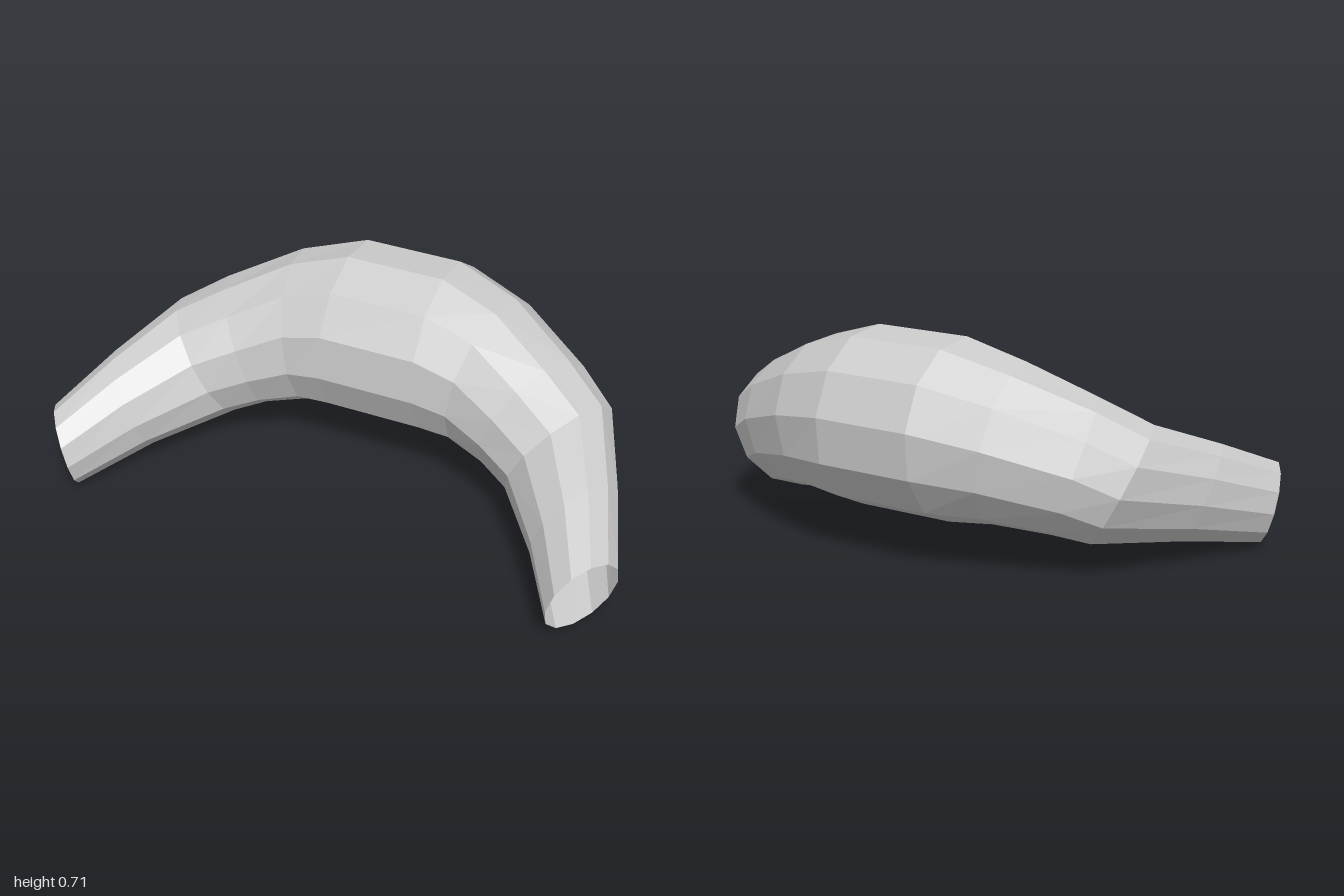
import * as THREE from 'three';

const SIDES = 12;

// Rings of the left half: centre, radius, facing direction, twist in degrees
const RINGS = [
  { c: [0.17, 0.423, -0.26], r: 0.295, n: [1, 0, 0], twist: 10 },
  { c: [0.34, 0.395, -0.225], r: 0.263, n: [0.97, -0.15, 0.17], twist: 9 },
  { c: [0.53, 0.33, -0.14], r: 0.23, n: [0.86, -0.31, 0.4], twist: 7 },
  { c: [0.65, 0.275, -0.07], r: 0.216, n: [0.8, -0.46, 0.39], twist: 5 },
  { c: [0.80, 0.21, 0.185], r: 0.172, n: [0.81, -0.37, 0.46], twist: 3 },
  { c: [0.922, 0.135, 0.434], r: 0.138, n: [0.81, -0.23, 0.54], twist: 0 },
];

// Points around one ring, starting at the top and turning towards the front
function ringPoints({ c, r, n, twist }) {
  const normal = new THREE.Vector3(...n).normalize();
  const up = new THREE.Vector3(0, 1, 0).addScaledVector(normal, -normal.y).normalize();
  const front = new THREE.Vector3().crossVectors(normal, up);
  return Array.from({ length: SIDES }, (_, i) => {
    const a = (i / SIDES) * Math.PI * 2 + THREE.MathUtils.degToRad(twist);
    return new THREE.Vector3(...c)
      .addScaledVector(up, r * Math.cos(a))
      .addScaledVector(front, r * Math.sin(a));
  });
}

// Open skin joining neighbouring rings
function loft(rings) {
  const positions = rings.flat().flatMap((p) => [p.x, p.y, p.z]);
  const index = [];
  for (let i = 0; i < rings.length - 1; i++) {
    for (let j = 0; j < SIDES; j++) {
      const k = (j + 1) % SIDES;
      const a = i * SIDES + j, b = i * SIDES + k;
      index.push(a, b, a + SIDES, b, b + SIDES, a + SIDES);
    }
  }
  const g = new THREE.BufferGeometry();
  g.setAttribute('position', new THREE.Float32BufferAttribute(positions, 3));
  g.setIndex(index);
  g.computeVertexNormals();
  return g;
}

export function createModel() {
  const group = new THREE.Group();
  group.name = 'curvedTube';

  // Mirror the left half to get the whole run from right to left
  const left = RINGS.map(ringPoints);
  const right = left
    .map((ring) => ring.map((p) => new THREE.Vector3(-p.x, p.y, p.z)))
    .reverse();

  const material = new THREE.MeshStandardMaterial({
    color: 0xcccccc, flatShading: true, side: THREE.DoubleSide,
  });
  const tube = new THREE.Mesh(loft([...right, ...left]), material);
  tube.name = 'bentTubeShell';
  group.add(tube);
  return group;
}
